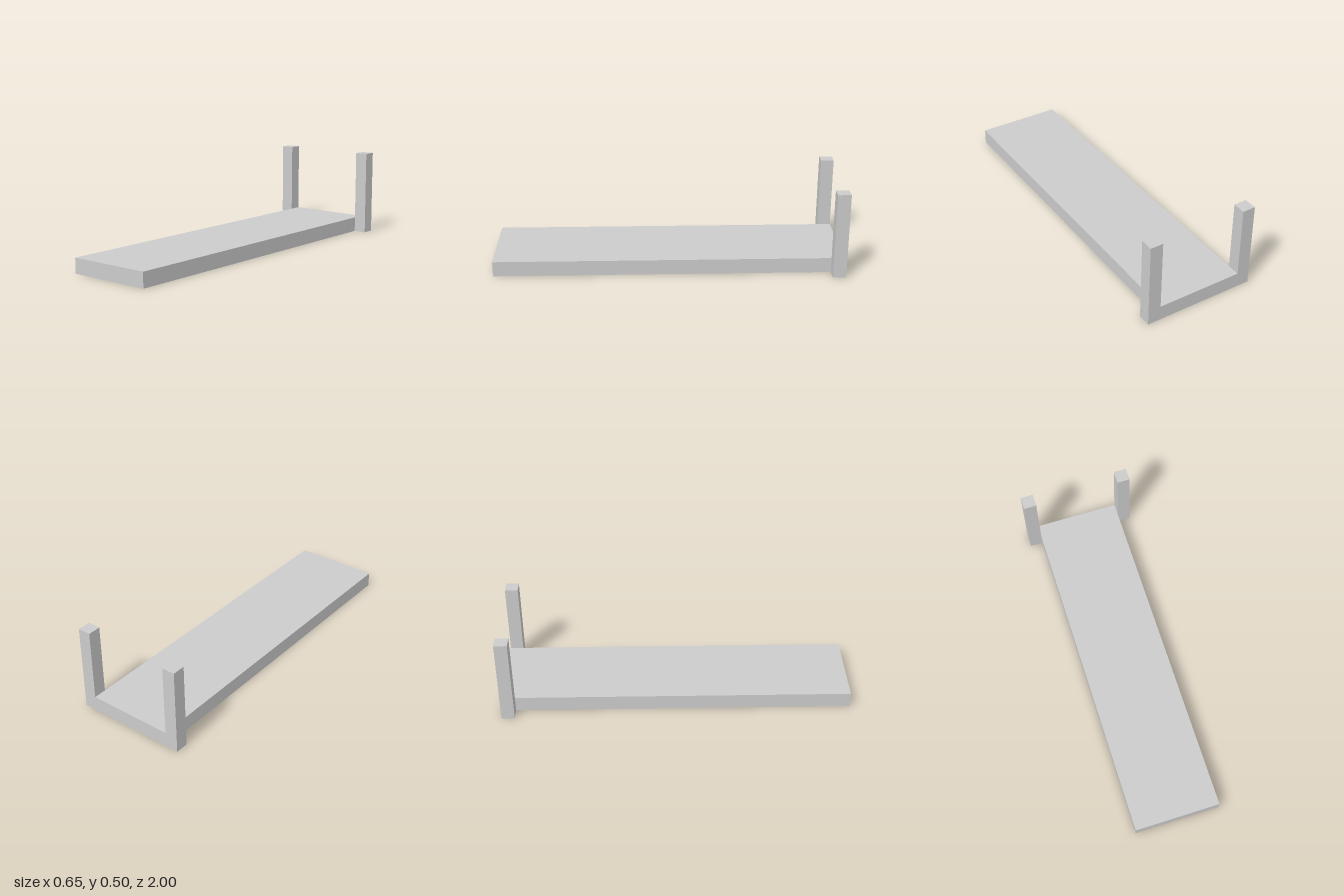
import * as THREE from 'three';

const LENGTH = 2, DECK_WIDTH = 0.5, DECK_HEIGHT = 0.0875;
const POST_SIZE = 0.075, POST_HEIGHT = 0.5;

export function createModel() {
  const model = new THREE.Group();
  model.name = 'plankWithPosts';
  const material = new THREE.MeshStandardMaterial({ color: 0xcccccc, flatShading: true });

  // Box standing on the ground, centred on x and z
  const addBox = (name, width, height, depth, x, z) => {
    const mesh = new THREE.Mesh(new THREE.BoxGeometry(width, height, depth), material);
    mesh.name = name;
    mesh.position.set(x, height / 2, z);
    model.add(mesh);
  };

  // Long flat deck
  addBox('deck', DECK_WIDTH, DECK_HEIGHT, LENGTH, 0, 0);

  // Upright posts against both sides, flush with the back end
  for (const [name, side] of [['leftPost', 1], ['rightPost', -1]]) {
    addBox(name, POST_SIZE, POST_HEIGHT, POST_SIZE,
      side * (DECK_WIDTH + POST_SIZE) / 2, -(LENGTH - POST_SIZE) / 2);
  }

  return model;
}
